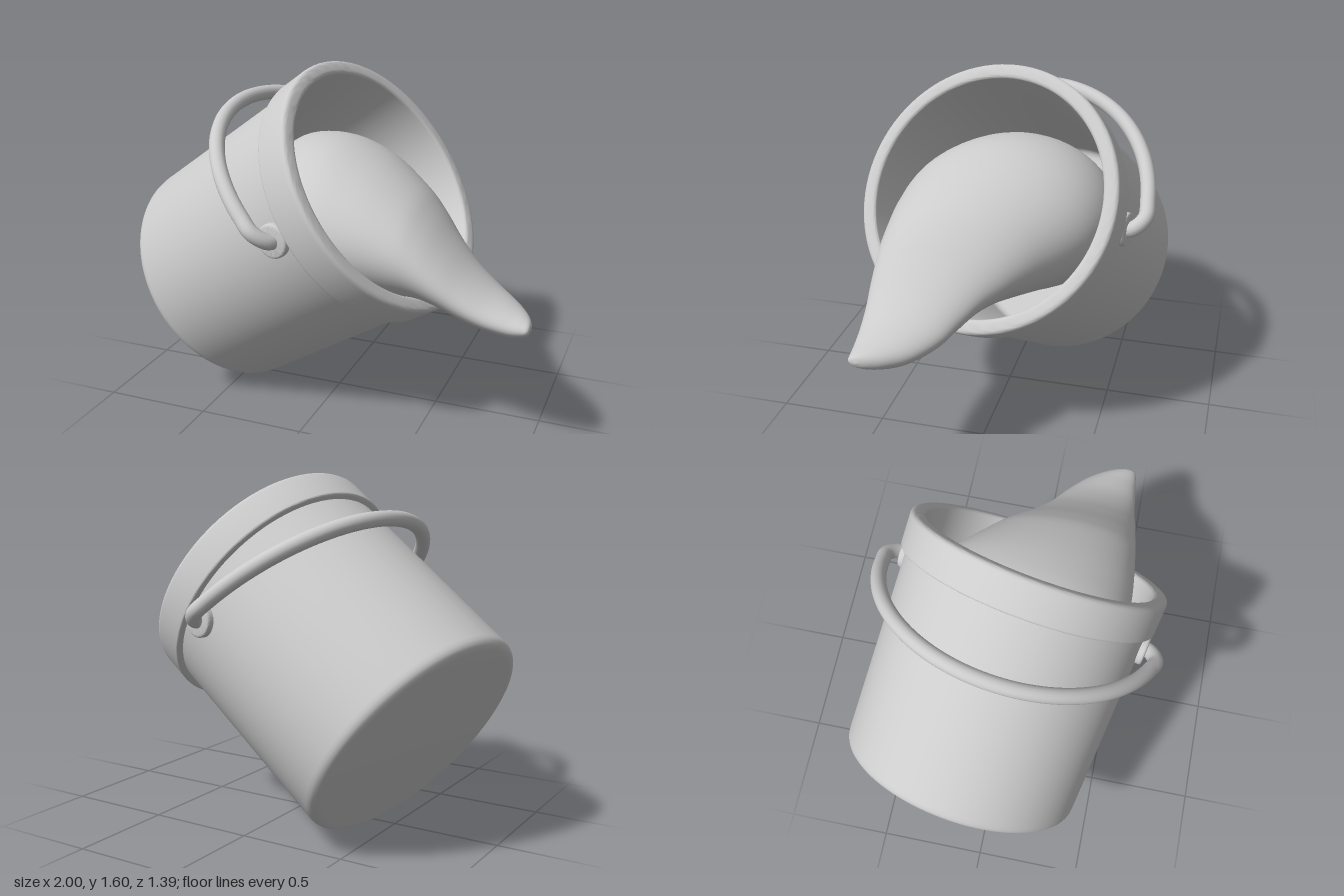
import * as THREE from 'three';
import { toCreasedNormals } from 'three/addons/utils/BufferGeometryUtils.js';

const V2 = (x, y) => new THREE.Vector2(x, y);
const V3 = (x, y, z) => new THREE.Vector3(x, y, z);

// Lathe a profile whose corners [radius, height, fillet] are rounded off.
function roundedLathe(corners) {
  const pts = [];
  corners.forEach(([x, y, f], i) => {
    const p = V2(x, y);
    if (!f) return pts.push(p);
    const toward = (c) => V2(c[0], c[1]).sub(p).setLength(f).add(p);
    const curve = new THREE.QuadraticBezierCurve(toward(corners[i - 1]), p, toward(corners[i + 1]));
    pts.push(...curve.getPoints(5));
  });
  return toCreasedNormals(new THREE.LatheGeometry(pts, 96), 0.6);
}

// Smooth closed body from cross-sections [x, yLow, yHigh, zLow, zHigh].
function loft(sections, rings = 72, sides = 56) {
  const low = new THREE.CatmullRomCurve3(sections.map((s) => V3(s[0], s[1], s[3])), false, 'catmullrom', 0.5);
  const high = new THREE.CatmullRomCurve3(sections.map((s) => V3(s[0], s[2], s[4])), false, 'catmullrom', 0.5);
  const pos = [], index = [];
  for (let i = 0; i <= rings; i++) {
    const a = low.getPoint(i / rings), b = high.getPoint(i / rings);
    for (let j = 0; j < sides; j++) {
      const t = (j / sides) * Math.PI * 2;
      pos.push(a.x,
        (a.y + b.y) / 2 + Math.sin(t) * (b.y - a.y) / 2,
        (a.z + b.z) / 2 + Math.cos(t) * (b.z - a.z) / 2);
      if (i === rings) continue;
      const k = (j + 1) % sides, p = i * sides, q = p + sides;
      index.push(p + j, q + j, q + k, p + j, q + k, p + k);
    }
  }
  const g = new THREE.BufferGeometry();
  g.setAttribute('position', new THREE.Float32BufferAttribute(pos, 3));
  g.setIndex(index);
  g.computeVertexNormals();
  return g;
}

export function createModel() {
  const model = new THREE.Group();
  const material = new THREE.MeshStandardMaterial({ color: 0xcccccc });
  const add = (parent, name, geometry) => {
    const mesh = new THREE.Mesh(geometry, material);
    mesh.name = name;
    parent.add(mesh);
    return mesh;
  };

  // Tilted bucket: local y is its axis, local x its handle pivots
  const bucket = new THREE.Group();
  bucket.name = 'bucket';
  const axis = V3(0.81, 0.557, 0.178).normalize();
  const back = V3(-0.21, -0.02, 0.975).cross(axis).normalize();
  const side = axis.clone().cross(back);
  bucket.quaternion.setFromRotationMatrix(new THREE.Matrix4().makeBasis(side, axis, back));
  const height = 1.15;
  bucket.position.set(0.25, 1.11, 0.055).addScaledVector(axis, -height);
  model.add(bucket);

  // Wall, floor and thick lip in one turned shell
  add(bucket, 'bucketShell', roundedLathe([
    [0, 0, 0], [0.568, 0, 0.05], [0.583, height - 0.17, 0],
    [0.613, height - 0.17, 0.012], [0.617, height, 0.025],
    [0.547, height, 0.02], [0.515, 0.06, 0.05], [0, 0.06, 0],
  ]));

  // Handle: half ellipse whose ends turn in to the pivots
  const pivotY = height - 0.24;
  const handle = new THREE.Group();
  handle.name = 'handle';
  handle.position.y = pivotY;
  handle.rotation.x = Math.atan2(0.29, 0.957);
  bucket.add(handle);
  const path = [V3(0.56, 0, 0), V3(0.62, 0, 0.004)];
  for (let i = 0; i <= 24; i++) {
    const t = 0.1 + (i / 24) * (Math.PI - 0.2);
    path.push(V3(0.668 * Math.cos(t), 0, 0.705 * Math.sin(t)));
  }
  path.push(V3(-0.62, 0, 0.004), V3(-0.56, 0, 0));
  add(handle, 'handleBar', new THREE.TubeGeometry(new THREE.CatmullRomCurve3(path), 160, 0.035, 16));

  // Round washers where the handle meets the wall
  for (const s of [1, -1]) {
    const washer = add(bucket, 'handleWasher', roundedLathe([
      [0, -0.03, 0], [0.077, -0.03, 0], [0.077, 0.025, 0.015], [0, 0.025, 0],
    ]));
    washer.rotation.z = -s * Math.PI / 2;
    washer.position.set(s * 0.585, pivotY, 0);
  }

  // Contents pouring out over the lip into a narrow tip
  add(model, 'pouringContents', loft([
    [-0.42, 0.8, 0.8, -0.08, -0.08],
    [-0.4, 0.62, 0.98, -0.28, 0.14],
    [-0.33, 0.5, 1.14, -0.42, 0.3],
    [-0.2, 0.46, 1.26, -0.49, 0.42],
    [0, 0.52, 1.285, -0.485, 0.5],
    [0.2, 0.6, 1.225, -0.41, 0.505],
    [0.4, 0.645, 1.115, -0.24, 0.49],
    [0.5, 0.66, 1.03, -0.145, 0.48],
    [0.6, 0.65, 0.925, -0.045, 0.47],
    [0.7, 0.62, 0.83, 0.03, 0.457],
    [0.8, 0.597, 0.76, 0.09, 0.447],
    [0.9, 0.59, 0.715, 0.175, 0.437],
    [0.96, 0.605, 0.692, 0.26, 0.43],
    [0.99, 0.626, 0.675, 0.33, 0.42],
    [1, 0.65, 0.65, 0.385, 0.385],
  ]));

  return model;
}
